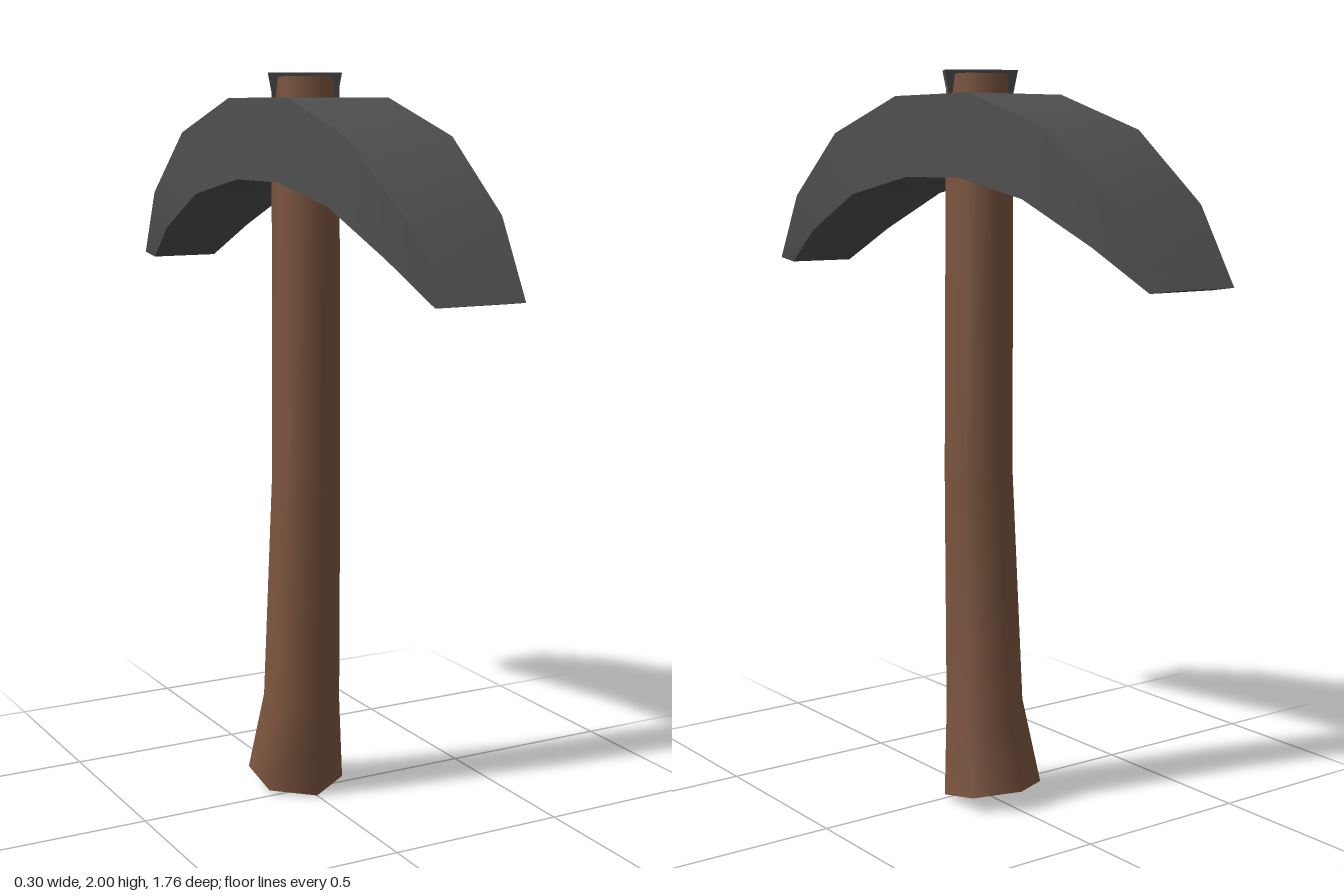
import * as THREE from 'three';
import { toCreasedNormals } from 'three/addons/utils/BufferGeometryUtils.js';

// Skin between rings of points; each ring runs counter-clockwise as seen from the far end
function loft(rings, crease) {
  const n = rings[0].length;
  const index = [];
  for (let i = 0; i < rings.length - 1; i++) {
    for (let j = 0; j < n; j++) {
      const k = (j + 1) % n;
      const a = i * n + j, b = i * n + k, c = a + n, d = b + n;
      index.push(a, b, d, a, d, c);
    }
  }
  const last = (rings.length - 1) * n;
  for (let j = 1; j < n - 1; j++) {
    index.push(0, j + 1, j, last, last + j, last + j + 1);
  }
  const geometry = new THREE.BufferGeometry();
  geometry.setAttribute('position', new THREE.Float32BufferAttribute(rings.flat(2), 3));
  geometry.setIndex(index);
  return toCreasedNormals(geometry, crease);
}

export function createModel() {
  const iron = new THREE.MeshStandardMaterial({ color: 0x505050 });
  const wood = new THREE.MeshStandardMaterial({ color: 0x7d563f });
  const model = new THREE.Group();
  const add = (name, geometry, material) => {
    const mesh = new THREE.Mesh(geometry, material);
    mesh.name = name;
    model.add(mesh);
    return mesh;
  };

  // Hexagonal handle: front z and y, back z and y of each ring, bottom to top
  const handleRings = [
    [0.06, 0.0, -0.205, 0.055],
    [0.072, 0.25, -0.14, 0.28],
    [0.088, 0.92, -0.1, 0.92],
    [0.08, 1.99, -0.1, 1.99],
  ].map(([zf, yf, zb, yb]) => Array.from({ length: 6 }, (_, i) => {
    const a = i * Math.PI / 3;
    const t = (1 - Math.cos(a)) / 2;
    const r = Math.hypot(zf - zb, yf - yb) / 2;
    return [r * Math.sin(a), THREE.MathUtils.lerp(yf, yb, t), THREE.MathUtils.lerp(zf, zb, t)];
  }));
  add('handle', loft(handleRings, 1.2), wood);

  // Arched head: outer z and y, inner z and y, half width; mirrored front to back
  const half = [
    [0.17, 1.935, 0.12, 1.72, 0.15],
    [0.48, 1.84, 0.39, 1.67, 0.15],
    [0.73, 1.66, 0.64, 1.56, 0.132],
    [0.882, 1.47, 0.81, 1.46, 0.1],
  ];
  const mirrored = half.map(([zo, yo, zi, yi, w]) => [-zo, yo, -zi, yi, w]).reverse();
  const headRings = [...mirrored, ...half].map(([zo, yo, zi, yi, w]) => [
    [-w, yi, zi], [w, yi, zi], [w, yo, zo], [-w, yo, zo],
  ]);
  add('head', loft(headRings, 0.7), iron);

  // Iron wedge driven diagonally into the top of the handle
  const wedgeRings = [[1.85, 0.07, 0.008], [2, 0.097, 0.036]].map(([y, l, t]) => [
    [-l, y, t], [l, y, t], [l, y, -t], [-l, y, -t],
  ]);
  const wedge = add('wedge', loft(wedgeRings, 0.5), iron);
  wedge.position.z = -0.012;
  wedge.rotation.y = -Math.PI / 6;

  return model;
}
